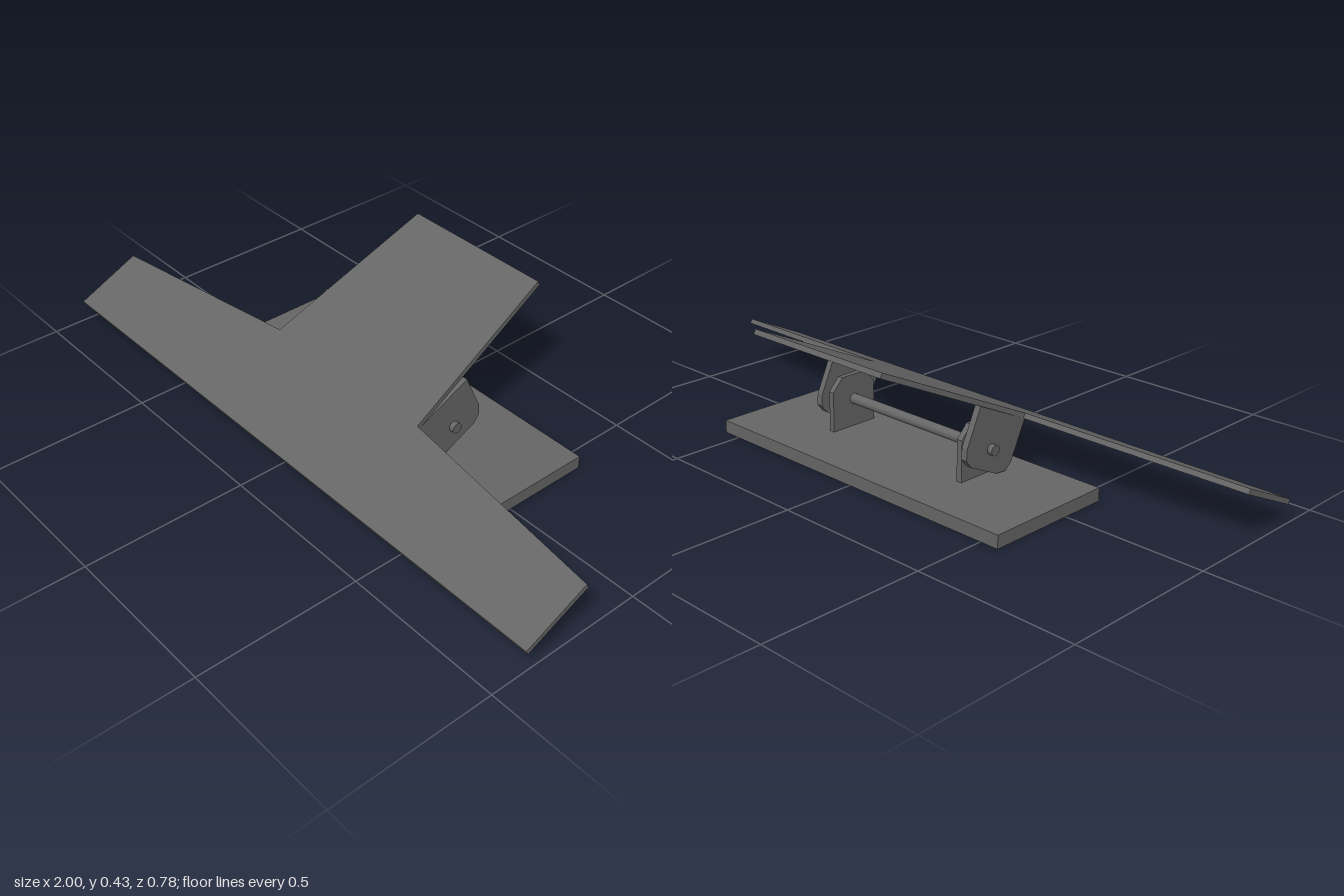
import * as THREE from 'three';

const TILT = THREE.MathUtils.degToRad(25);
const PIVOT = { y: 0.127, z: -0.02 };

const grey = new THREE.MeshStandardMaterial({ color: 0x666666 });
grey.name = 'dark grey';

// Extrude a closed outline by a depth, centred on its mid-plane
function slab(points, depth) {
  const shape = new THREE.Shape(points.map(([a, b]) => new THREE.Vector2(a, b)));
  const geometry = new THREE.ExtrudeGeometry(shape, { depth, bevelEnabled: false });
  return geometry.translate(0, 0, -depth / 2);
}

// Same, for an outline given as [z, y] and extruded along x
const sideSlab = (points, depth) => slab(points, depth).rotateY(-Math.PI / 2);

export function createModel() {
  const model = new THREE.Group();
  model.name = 'tiltingPedal';

  const add = (name, geometry, x = 0, y = 0, z = 0) => {
    const mesh = new THREE.Mesh(geometry, grey);
    mesh.name = name;
    mesh.position.set(x, y, z);
    model.add(mesh);
    return mesh;
  };

  // Floor plate
  add('base', new THREE.BoxGeometry(1.12, 0.04, 0.414), 0, 0.02, -0.065);

  // Tilted top plate: wide wings in front, tapered tongue behind
  const half = [[1, -0.427], [1, -0.206], [0.307, -0.126], [0.255, 0.427]];
  const outline = [...half, ...half.map(([x, s]) => [-x, s]).reverse()];
  const plate = add('topPlate', slab(outline, 0.016), 0, 0.2425, 0);
  plate.rotation.x = TILT - Math.PI / 2;

  // Hinge cheeks: the outer pair hangs from the plate, the inner pair stands on the base
  const bracket = [
    [0.118, 0.18], [0.062, 0.062], [0.04, 0.044], [0.003, 0.046],
    [-0.1, 0.095], [-0.12, 0.12], [-0.117, 0.155], [-0.066, 0.266],
  ];
  const support = [
    [0.062, 0.04], [0.062, 0.165], [0.025, 0.204],
    [-0.065, 0.204], [-0.102, 0.165], [-0.102, 0.04],
  ];
  for (const [side, s] of [['left', 1], ['right', -1]]) {
    add(side + 'Bracket', sideSlab(bracket, 0.02), s * 0.296);
    add(side + 'Support', sideSlab(support, 0.018), s * 0.262);
  }

  // Hinge rod through all four cheeks
  const rod = new THREE.CylinderGeometry(0.016, 0.016, 0.644, 32).rotateZ(Math.PI / 2);
  add('hingeRod', rod, 0, PIVOT.y, PIVOT.z);

  return model;
}
